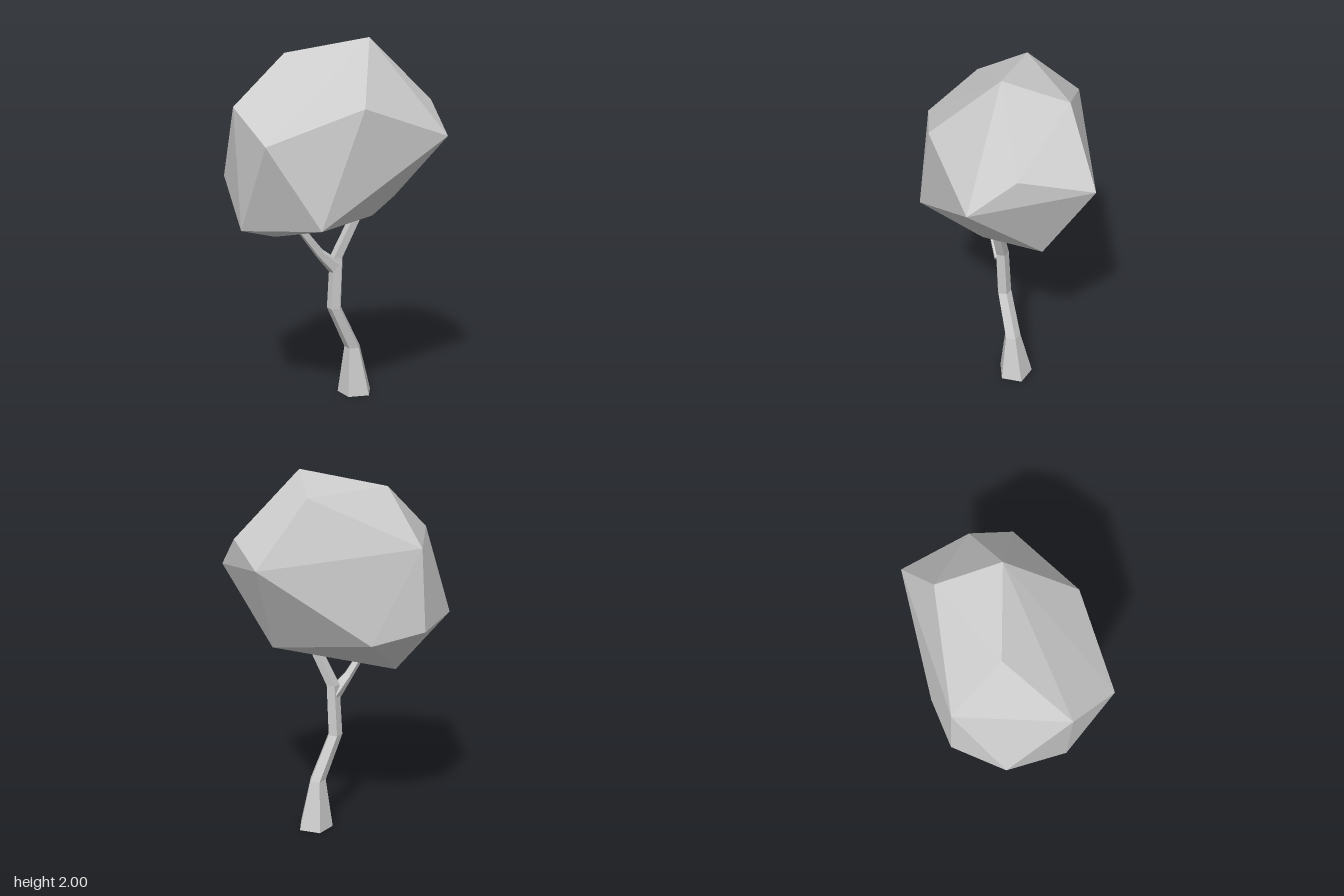
import * as THREE from 'three';
import { ConvexGeometry } from 'three/addons/geometries/ConvexGeometry.js';

const SIDES = 5;
const material = () => new THREE.MeshStandardMaterial({ color: 0xcccccc, flatShading: true });

// Five-sided limb skinned over rings [x, y, z, radius, tilt about z]
function limb(name, rings) {
  const pos = [], index = [];
  for (const [x, y, z, r, tilt = 0] of rings) {
    for (let j = 0; j < SIDES; j++) {
      const a = Math.PI + (j / SIDES) * Math.PI * 2;
      const dx = Math.sin(a) * r;
      pos.push(x + dx * Math.cos(tilt), y + dx * Math.sin(tilt), z + Math.cos(a) * r);
    }
  }
  const last = (rings.length - 1) * SIDES;
  for (let i = 0; i < last; i += SIDES) {
    for (let j = 0; j < SIDES; j++) {
      const k = (j + 1) % SIDES;
      index.push(i + j, i + k, i + SIDES + k, i + j, i + SIDES + k, i + SIDES + j);
    }
  }
  // End caps
  for (let j = 1; j < SIDES - 1; j++) {
    index.push(0, j + 1, j, last, last + j, last + j + 1);
  }
  const indexed = new THREE.BufferGeometry();
  indexed.setAttribute('position', new THREE.Float32BufferAttribute(pos, 3));
  indexed.setIndex(index);
  const geometry = indexed.toNonIndexed();
  geometry.computeVertexNormals();
  const mesh = new THREE.Mesh(geometry, material());
  mesh.name = name;
  return mesh;
}

export function createModel() {
  const tree = new THREE.Group();
  tree.name = 'tree';

  // Crooked trunk, flared at the base and leaning into the crown
  tree.add(limb('trunk', [
    [0.135, 0, -0.05, 0.101],
    [0.115, 0.275, -0.035, 0.047],
    [0, 0.52, 0.005, 0.042],
    [0.01, 0.81, 0.017, 0.039],
    [0.105, 1.03, 0.05, 0.036],
    [0.13, 1.09, 0.06, 0.034],
  ]));

  // Side branch forking to the right
  tree.add(limb('branch', [
    [0, 0.755, 0.02, 0.045, 0.9],
    [-0.095, 0.845, 0.055, 0.027, 0.75],
    [-0.26, 1.06, 0.1, 0.018, 0.6],
  ]));

  // Faceted crown as the hull of a few corners
  const corners = [
    // upper
    [0.185, 2, 0.03], [-0.245, 1.915, -0.135], [0.235, 1.895, -0.3],
    // middle
    [-0.56, 1.65, 0.11], [0.07, 1.65, 0.39], [-0.44, 1.47, 0.39],
    [0.55, 1.66, -0.02], [0.567, 1.485, 0.225], [0.525, 1.565, -0.4],
    [-0.33, 1.635, -0.425],
    // lower
    [-0.05, 1.155, -0.465], [-0.345, 1.205, -0.455], [-0.57, 1.245, -0.235],
    [-0.53, 1, 0.12], [-0.17, 1.045, 0.46], [-0.31, 0.91, -0.12],
    [0.39, 1.107, -0.165], [0.18, 1.055, 0.13],
  ].map((p) => new THREE.Vector3(...p));
  const crown = new THREE.Mesh(new ConvexGeometry(corners), material());
  crown.name = 'crown';
  tree.add(crown);

  return tree;
}
